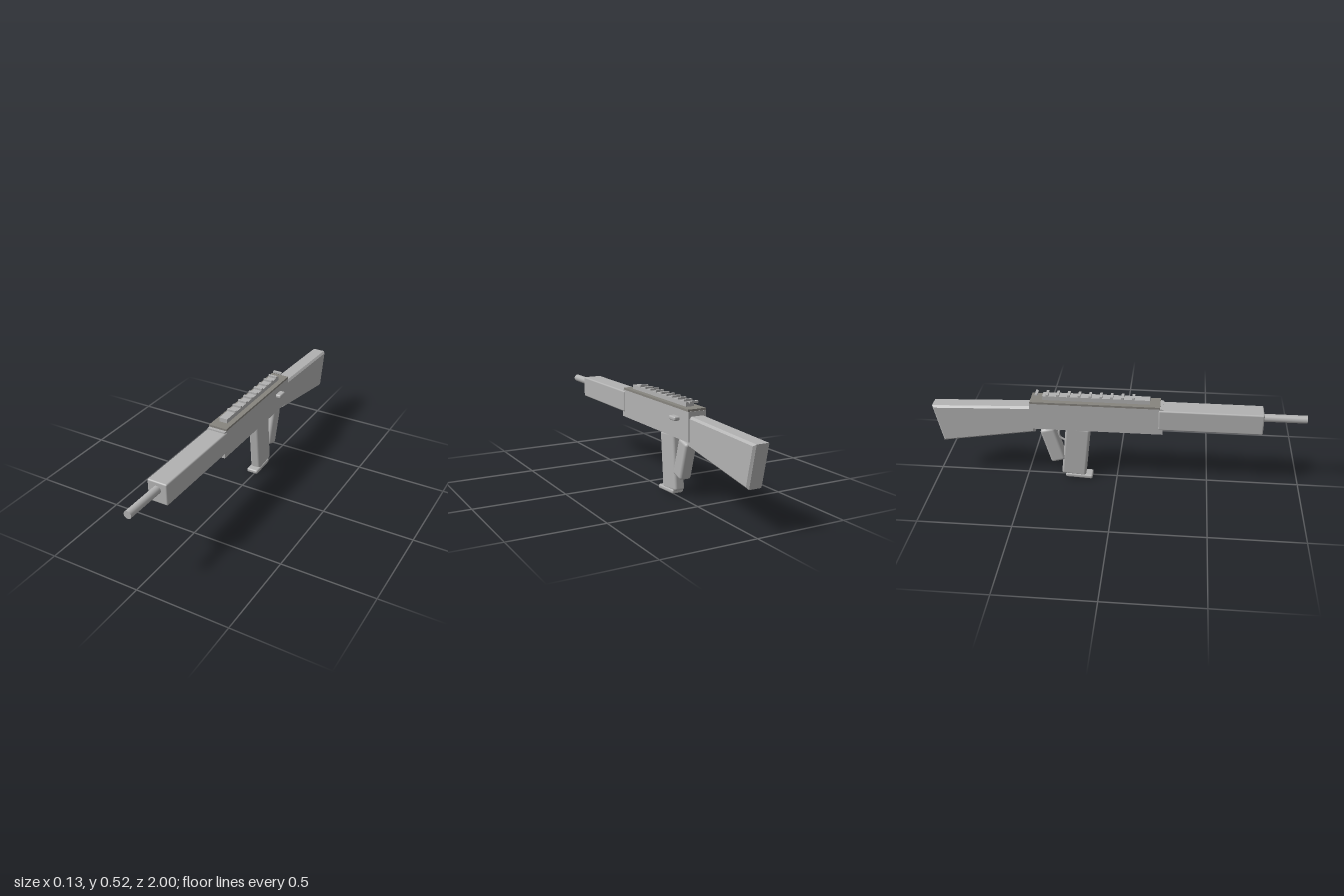
import * as THREE from 'three';
import { RoundedBoxGeometry } from 'three/addons/geometries/RoundedBoxGeometry.js';

const CX = -0.013; // centre plane of the body; the side handle shifts it off x = 0

export function createModel() {
  const model = new THREE.Group();
  const grey = new THREE.MeshStandardMaterial({ color: 0xb2b2b2 });
  grey.name = 'light grey';
  const dark = new THREE.MeshStandardMaterial({ color: 0x86847e });
  dark.name = 'warm dark grey';

  const add = (name, geometry, x, y, z, tilt = 0, material = grey) => {
    const mesh = new THREE.Mesh(geometry, material);
    mesh.name = name;
    mesh.position.set(x, y, z);
    mesh.rotation.x = tilt;
    model.add(mesh);
    return mesh;
  };
  const box = (w, h, d) => new THREE.BoxGeometry(w, h, d);
  const rounded = (w, h, d, r) => new RoundedBoxGeometry(w, h, d, 3, r);

  // Barrel and square fore-end
  add('barrel', new THREE.CylinderGeometry(0.021, 0.021, 0.3, 32).rotateX(Math.PI / 2), CX, 0.429, 0.85);
  add('foreEnd', rounded(0.11, 0.118, 0.55, 0.008), CX, 0.412, 0.498);

  // Receiver with dark cover plate
  add('receiver', box(0.1, 0.154, 0.71), CX, 0.402, -0.108);
  add('coverPlate', box(0.103, 0.011, 0.69), CX, 0.4845, -0.115, 0, dark);

  // Top rail with evenly spaced teeth
  add('rail', box(0.046, 0.024, 0.57), CX, 0.501, -0.11);
  for (let i = 0; i < 10; i++) {
    add('railTooth', box(0.05, 0.011, 0.014), CX, 0.5185, 0.088 - i * 0.0572);
  }

  // Side handle
  add('sideHandle', rounded(0.04, 0.022, 0.06, 0.008), 0.046, 0.429, -0.346);

  // Stock: tapered side profile with bevelled edges
  const profile = new THREE.Shape([
    [-0.44, 0.455], [-0.44, 0.298], [-0.952, 0.216], [-0.997, 0.434],
  ].map(([z, y]) => new THREE.Vector2(z, y)));
  const bevel = 0.011;
  const width = 0.088;
  const stock = new THREE.ExtrudeGeometry(profile, {
    depth: width - 2 * bevel, bevelEnabled: true, bevelSegments: 1,
    bevelSize: bevel, bevelThickness: bevel, bevelOffset: -bevel,
  });
  stock.translate(0, 0, bevel - width / 2).rotateY(-Math.PI / 2);
  add('stock', stock, CX, 0, 0);

  // Leaning magazine and its foot
  add('magazine', rounded(0.059, 0.305, 0.135, 0.014), CX, 0.172, -0.2245, 0.1);
  add('magazineFoot', rounded(0.067, 0.024, 0.15, 0.009), CX, 0.0158, -0.209, 0.05);

  // Rear grip
  add('grip', rounded(0.067, 0.212, 0.084, 0.016), CX, 0.211, -0.349, -0.28);

  // Trigger guard: thin bent bar between magazine and grip
  const guardPath = new THREE.CatmullRomCurve3([
    [0.33, -0.275], [0.315, -0.3], [0.285, -0.318], [0.25, -0.312], [0.232, -0.285],
  ].map(([y, z]) => new THREE.Vector3(0, y, z)));
  add('triggerGuard', new THREE.TubeGeometry(guardPath, 20, 0.006, 8), CX, 0, 0);

  return model;
}
